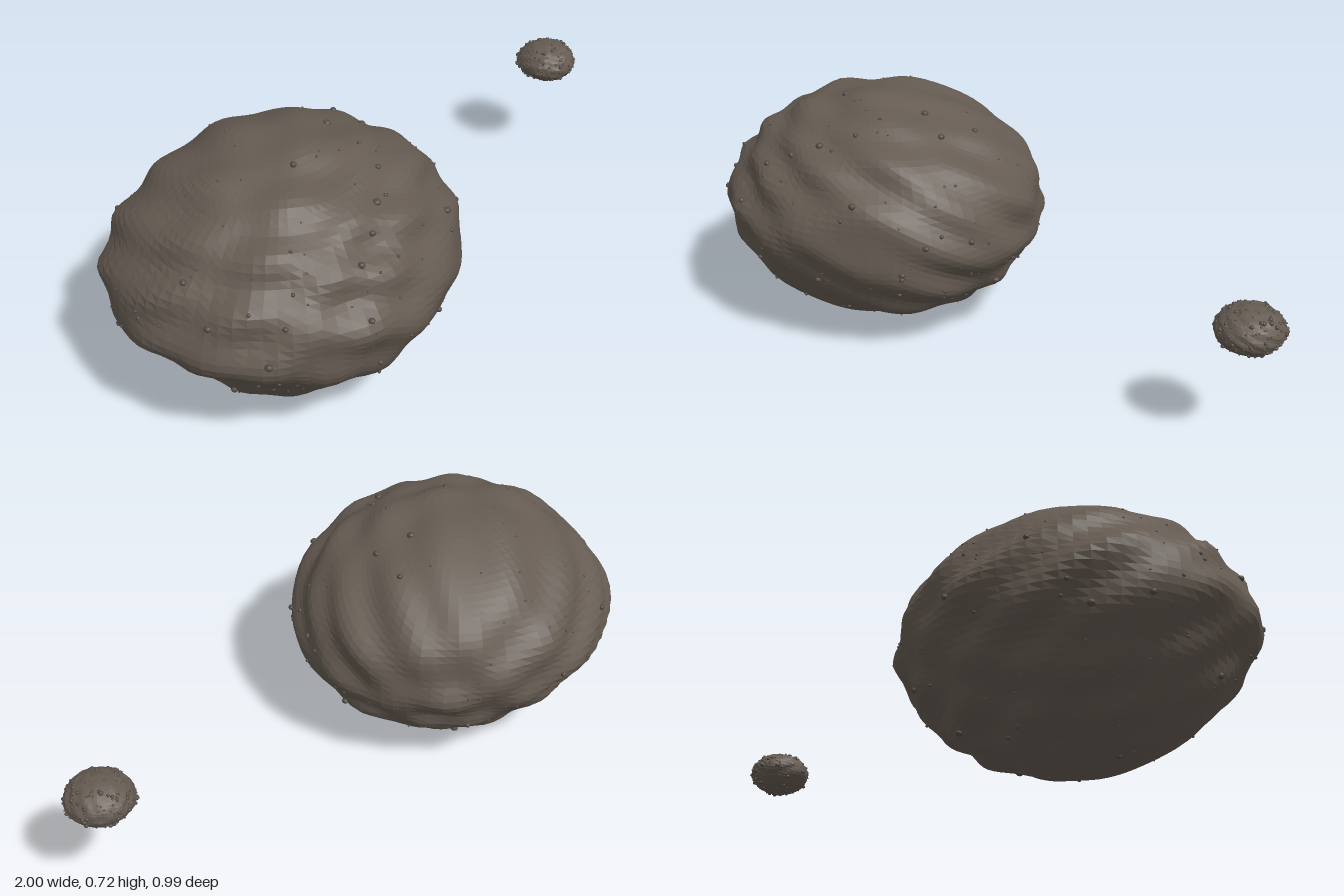
import * as THREE from 'three';
import { mergeGeometries } from 'three/addons/utils/BufferGeometryUtils.js';

// Small seeded generator for the scattered boulders
function seeded(seed) {
  return () => {
    seed = (seed * 1664525 + 1013904223) % 4294967296;
    return seed / 4294967296;
  };
}

// Broad swellings (positive) and dents (negative): direction and height
const SWELLS = [
  [new THREE.Vector3(-0.72, -0.69, 0).normalize(), -0.045],
  [new THREE.Vector3(-0.6, 0, -0.8), 0.025],
  [new THREE.Vector3(0.9, -0.3, 0.3).normalize(), 0.012],
];

// Radius of the lumpy, top-shaped rock in a unit direction d; the equator is sharper towards -x
function rockRadius(d, o) {
  const { x, y, z } = d;
  const ridge = o.ridge * (1 - 0.6 * x) * Math.exp(-((y / 0.27) ** 2));
  const waves =
    0.016 * Math.sin(10 * x + 14 * y - 3 * z + o.phase) +
    0.012 * Math.sin(11 * x - 8 * y + 12 * z + 1.3 + o.phase) +
    0.009 * Math.sin(6 * x + 15 * y - 14 * z + 2.1) +
    0.008 * Math.sin(4 * x + 2) * Math.sin(5 * z + 1 + o.phase);
  let r = 1 + ridge + o.lump * waves;
  for (const [c, h] of SWELLS) r += o.lump * h * Math.exp((c.dot(d) - 1) / 0.1);
  return r;
}

// Displaced sphere sized to its box, plus boulders half sunk into its surface
function makeBody(name, o, rockMaterial, boulderMaterial) {
  const point = (d) => d.clone().multiplyScalar(rockRadius(d, o));
  const geometry = new THREE.SphereGeometry(1, o.segments, o.rings);
  const pos = geometry.attributes.position;
  const v = new THREE.Vector3();
  for (let i = 0; i < pos.count; i++) {
    const p = point(v.fromBufferAttribute(pos, i).normalize());
    pos.setXYZ(i, p.x, p.y, p.z);
  }
  geometry.computeBoundingBox();
  const raw = geometry.boundingBox;
  const target = new THREE.Box3(new THREE.Vector3(...o.min), new THREE.Vector3(...o.max));
  const scale = target.getSize(new THREE.Vector3()).divide(raw.getSize(new THREE.Vector3()));
  const offset = target.min.clone().sub(raw.min.clone().multiply(scale));
  const fit = new THREE.Matrix4().compose(offset, new THREE.Quaternion(), scale);
  geometry.applyMatrix4(fit);
  geometry.computeVertexNormals();

  const body = new THREE.Group();
  body.name = name;
  const rock = new THREE.Mesh(geometry, rockMaterial);
  rock.name = name + 'Rock';
  body.add(rock);

  // Boulders: mostly pebbles, a few large
  const rand = seeded(o.seed);
  const stones = [];
  for (let i = 0; i < o.boulders; i++) {
    const y = rand() * 1.96 - 0.98;
    const a = rand() * Math.PI * 2;
    const s = Math.sqrt(1 - y * y);
    const d = new THREE.Vector3(s * Math.cos(a), y, s * Math.sin(a));
    const p = point(d).applyMatrix4(fit);
    const r = o.small + (o.large - o.small) * rand() ** 3;
    const stone = new THREE.IcosahedronGeometry(r, 1);
    stone.scale(1, 0.75 + 0.2 * rand(), 0.85 + 0.15 * rand());
    stone.rotateY(rand() * 6);
    stone.translate(p.x, p.y, p.z);
    stones.push(stone);
  }
  const boulders = new THREE.Mesh(mergeGeometries(stones), boulderMaterial);
  boulders.name = name + 'Boulders';
  body.add(boulders);
  return body;
}

export function createModel() {
  const rock = new THREE.MeshStandardMaterial({ color: 0x655b52 });
  rock.name = 'grey brown rock';
  rock.flatShading = true;
  const boulder = new THREE.MeshStandardMaterial({ color: 0x544b44 });
  boulder.name = 'dark boulder';
  boulder.flatShading = true;

  const model = new THREE.Group();
  model.name = 'binaryAsteroid';

  // Large spinning-top asteroid
  model.add(makeBody('primary', {
    min: [-0.998, 0.004, -0.495], max: [0.054, 0.727, 0.493],
    segments: 80, rings: 56, ridge: 0.04, lump: 1, phase: 0.4,
    boulders: 190, small: 0.003, large: 0.013, seed: 7,
  }, rock, boulder));

  // Small moonlet, thickly covered in pebbles
  model.add(makeBody('moonlet', {
    min: [0.801, 0.301, -0.1], max: [0.996, 0.434, 0.096],
    segments: 40, rings: 28, ridge: 0.015, lump: 0.8, phase: 2.2,
    boulders: 230, small: 0.003, large: 0.008, seed: 23,
  }, rock, boulder));

  return model;
}
